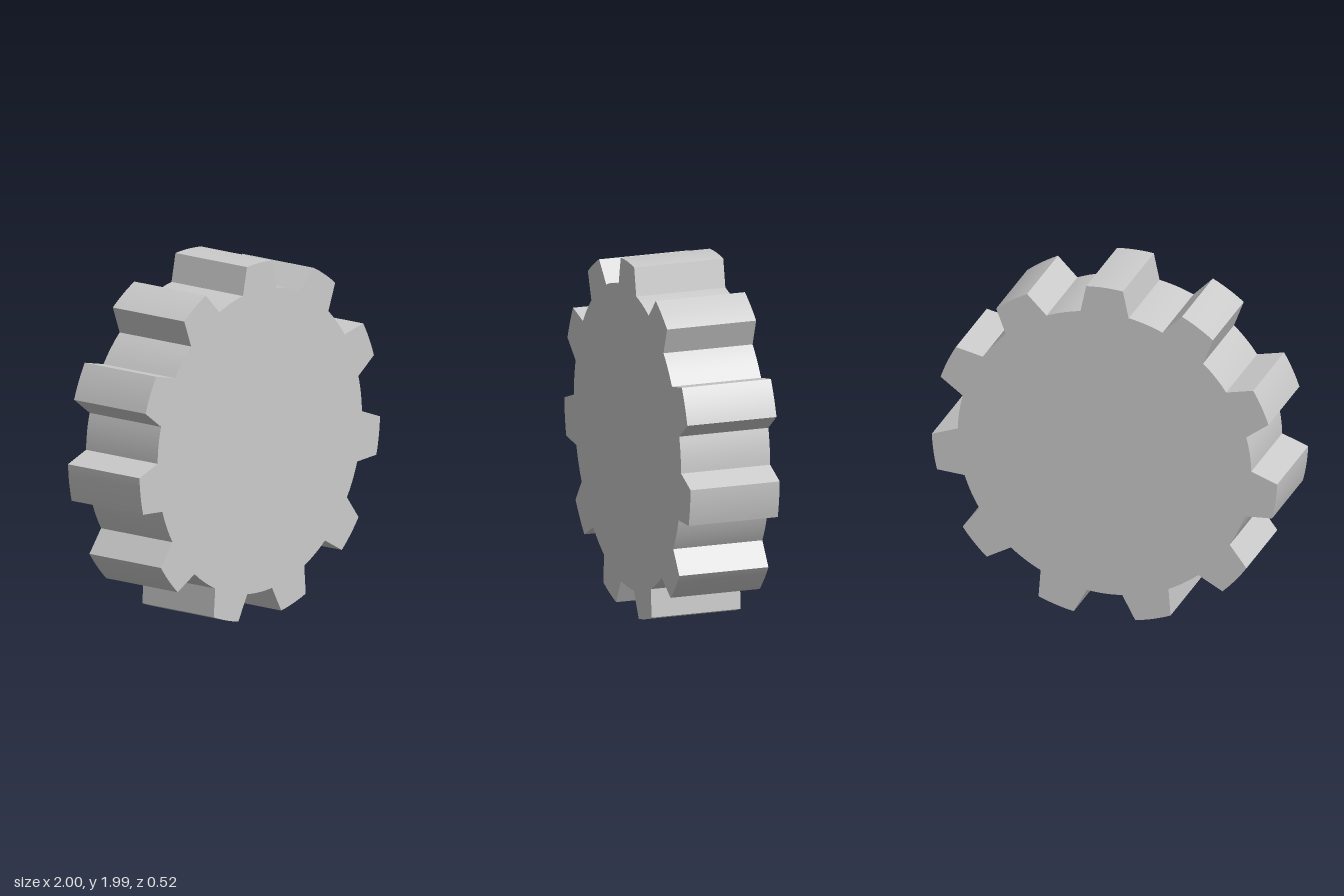
import * as THREE from 'three';
import { toCreasedNormals } from 'three/addons/utils/BufferGeometryUtils.js';

const TEETH = 11;
const TIP_RADIUS = 1.0007;
const ROOT_RADIUS = 0.85;
const TIP_HALF = THREE.MathUtils.degToRad(6.1); // half-angle of a tooth at its tip
const ROOT_HALF = THREE.MathUtils.degToRad(9.45); // half-angle of a tooth at its root
const DEPTH = 0.52;
const CENTRE_Y = 0.985;

// Outline: a tip arc per tooth, joined by straight flanks to the root arcs
function gearShape() {
  const points = [];
  const pitch = (Math.PI * 2) / TEETH;
  const arc = (radius, from, to, steps) => {
    for (let i = 0; i <= steps; i++) {
      const a = from + ((to - from) * i) / steps;
      points.push(new THREE.Vector2(radius * Math.cos(a), radius * Math.sin(a)));
    }
  };
  for (let k = 0; k < TEETH; k++) {
    const mid = Math.PI / 2 + k * pitch;
    arc(TIP_RADIUS, mid - TIP_HALF, mid + TIP_HALF, 8);
    arc(ROOT_RADIUS, mid + ROOT_HALF, mid + pitch - ROOT_HALF, 8);
  }
  return new THREE.Shape(points);
}

export function createModel() {
  const group = new THREE.Group();
  group.name = 'gear';

  // Solid toothed wheel, smooth along the arcs and sharp at the flanks
  const extruded = new THREE.ExtrudeGeometry(gearShape(), { depth: DEPTH, bevelEnabled: false });
  extruded.translate(0, CENTRE_Y, -DEPTH / 2);
  const wheel = new THREE.Mesh(
    toCreasedNormals(extruded, Math.PI / 6),
    new THREE.MeshStandardMaterial({ color: 0xcccccc })
  );
  wheel.name = 'toothedWheel';
  group.add(wheel);
  return group;
}
